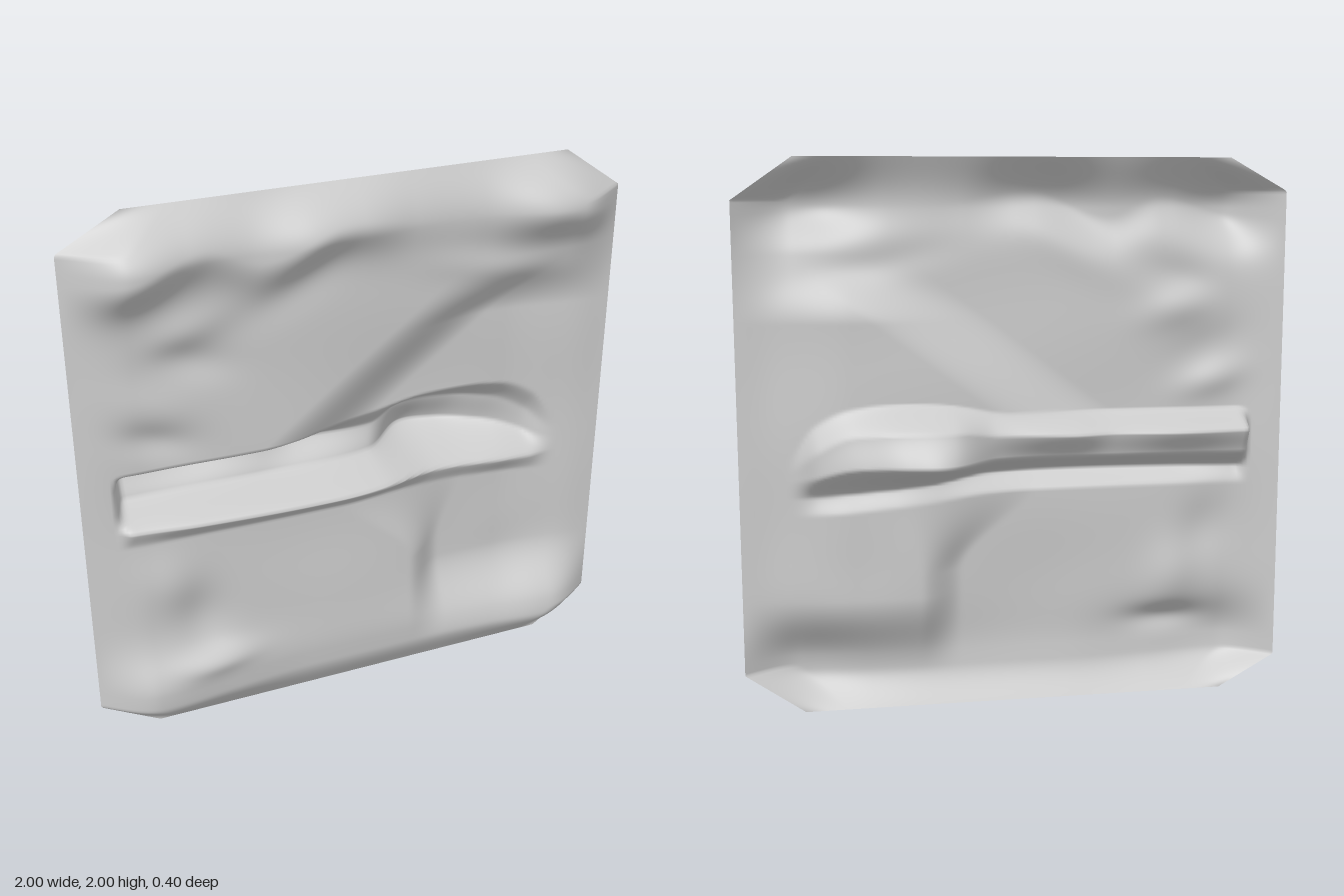
import * as THREE from 'three';

const EDGE_Z = 0.05;
const smooth = (a, b, t) => THREE.MathUtils.smoothstep(t, a, b);
const mix = THREE.MathUtils.lerp;

// Smooth curve through a short list of [position, value] pairs
function along(points, t) {
  const last = points.length - 1;
  if (t <= points[0][0]) return points[0][1];
  if (t >= points[last][0]) return points[last][1];
  const slope = i => (i === 0 || i === last) ? 0
    : (points[i + 1][1] - points[i - 1][1]) / (points[i + 1][0] - points[i - 1][0]);
  const i = points.findIndex(p => p[0] > t) - 1;
  const [a, va] = points[i], [b, vb] = points[i + 1];
  const w = b - a, s = (t - a) / w, r = 1 - s;
  return (1 + 2 * s) * r * r * va + s * r * r * w * slope(i)
    + s * s * (3 - 2 * s) * vb - s * s * r * w * slope(i + 1);
}

// Ridges across the top and bottom: height and centre line along x
const topHeight = [[-1, 0.06], [-0.78, 0.105], [-0.6, 0.07], [-0.4, 0.05], [-0.18, 0.09], [0, 0.07], [0.2, 0.025], [0.45, 0.03], [0.7, 0.1], [1, 0.05]];
const topLine = [[-1, 1.78], [-0.8, 1.8], [-0.55, 1.86], [-0.35, 1.79], [-0.08, 1.88], [0.3, 1.83], [0.7, 1.83], [1, 1.8]];
const bottomHeight = [[-1, 0.06], [-0.75, 0.075], [-0.5, 0.05], [-0.2, 0.02], [0.3, 0.02], [0.55, 0.035], [0.75, 0.06], [1, 0.05]];

// Soft dents and swellings: x, y, radius x, radius y, height, tilt
const bumps = [
  [-0.62, 1.57, 0.14, 0.07, 0.015, 0.3],
  [-0.6, 1.46, 0.14, 0.07, -0.02, -0.3],
  [-0.72, 1.31, 0.15, 0.08, 0.015, -0.4],
  [-0.74, 1.19, 0.13, 0.06, -0.02, -0.3],
  [0.5, 1.63, 0.25, 0.06, 0.012, -0.2],
  [-0.25, 1.66, 0.22, 0.08, -0.01, 0.5],
  [-0.1, 0.45, 0.32, 0.3, 0.02, 0],
  [-0.72, 0.62, 0.1, 0.13, 0.02, 0.5],
  [-0.6, 0.45, 0.1, 0.15, -0.025, 0.2],
  [-0.58, 0.27, 0.14, 0.05, 0.03, 0],
  [0.6, 0.5, 0.16, 0.16, 0.01, 0.4],
];

// Channel running across the middle, deeper toward its left end
const ceilingY = [[-0.87, 1.07], [0, 1.08], [0.3, 1.12], [0.6, 1.11], [0.73, 1.05], [0.84, 0.93]];
const upperY = [[-0.87, 1.02], [0.08, 1.02], [0.25, 1.045], [0.6, 1.03], [0.73, 0.97], [0.84, 0.89]];
const upperZ = [[-0.87, -0.06], [-0.6, -0.075], [-0.35, -0.045], [-0.2, -0.07], [0.1, -0.06], [0.25, -0.13], [0.45, -0.12], [0.6, -0.07], [0.74, -0.03], [0.84, 0.02]];
const lowerY = [[-0.87, 0.93], [0.1, 0.93], [0.3, 0.93], [0.6, 0.92], [0.84, 0.86]];
const lowerZ = [[-0.87, -0.02], [-0.35, -0.01], [0.08, -0.03], [0.26, -0.185], [0.4, -0.18], [0.55, -0.12], [0.7, -0.05], [0.84, 0.02]];
const lipY = [[-0.87, 0.86], [0.1, 0.855], [0.35, 0.83], [0.84, 0.8]];
const lipZ = [[-0.87, 0.11], [-0.6, 0.14], [-0.2, 0.16], [0.08, 0.14], [0.32, 0.05], [0.6, 0.045], [0.84, 0.04]];

// The sheet is stepped back on the left, with a slanted step above the channel
function recess(x, y) {
  const side = y > 1
    ? smooth(-0.13, 0.13, (x - 0.2) * 0.6 - (y - 1.34) * 0.8)
    : smooth(0.27 - 0.07 - 0.3 * smooth(0.5, 0.85, y), 0.36 + 0.1 * smooth(0.5, 0.85, y), x);
  return side * smooth(0.1, 0.42, y) * (1 - smooth(1.42, 1.66, y)) * (1 - 0.5 * smooth(0.6, 0.95, x));
}

function baseHeight(x, y) {
  let h = 0.04 - 0.086 * recess(x, y);
  h += 0.006 * Math.sin(5 * x + 3 * y) * Math.sin(7 * y - 2 * x);
  const dt = y - along(topLine, x);
  h += along(topHeight, x) * Math.exp(-((dt / (dt > 0 ? 0.25 : 0.11)) ** 2));
  const db = y - 0.19;
  h += along(bottomHeight, x) * Math.exp(-((db / (db < 0 ? 0.25 : 0.14)) ** 2));
  for (const [bx, by, rx, ry, height, tilt] of bumps) {
    const c = Math.cos(tilt), s = Math.sin(tilt);
    const u = ((x - bx) * c + (y - by) * s) / rx;
    const v = ((y - by) * c - (x - bx) * s) / ry;
    h += height * Math.exp(-u * u - v * v);
  }
  return h;
}

// Rises from 0 at the rim to 1 inside, rounded at the corners
function rimRise(x, y, u) {
  const rise = (d, width) => Math.sin(Math.min(1, d / width) * Math.PI / 2);
  return rise(1 - Math.abs(u), 0.2) * rise(y, 0.13) * rise(2 - y, 0.18);
}

function surfaceZ(x, y, u) {
  const base = EDGE_Z + baseHeight(x, y) * rimRise(x, y, u);
  const ends = smooth(-0.89, -0.84, x) * (1 - smooth(0.72, 0.84, x));
  if (ends === 0) return base;

  // Channel section from the lower lip up to the ceiling
  const lip = along(lipY, x);
  const section = [
    [lip - 0.065, base],
    [lip, along(lipZ, x)],
    [along(lowerY, x), along(lowerZ, x)],
    [along(upperY, x), along(upperZ, x)],
    [along(ceilingY, x) + 0.01, base],
  ];
  let z = base;
  for (let i = 1; i < section.length; i++) {
    const [a, za] = section[i - 1], [b, zb] = section[i];
    if (y > a && y <= b) {
      const t = (y - a) / (b - a);
      z = mix(za, zb, mix(t, smooth(0, 1, t), 0.4));
    }
  }
  return mix(base, z, ends);
}

// Outline with clipped corners
function halfWidth(y, cut) {
  const d = Math.min(y, 2 - y);
  return d < cut ? mix(0.785, 1, d / cut) : 1;
}

function createSheet() {
  const columns = 160, rows = 240;
  const geometry = new THREE.PlaneGeometry(2, 2, columns, rows);
  geometry.translate(0, 1, 0);
  const p = geometry.attributes.position;
  for (let i = 0; i < p.count; i++) {
    const u = p.getX(i), y = p.getY(i);
    const x = u * halfWidth(y, u < 0 ? 0.12 : 0.15);
    p.setXYZ(i, x, y, surfaceZ(x, y, u));
  }
  geometry.computeVertexNormals();
  return geometry;
}

export function createModel() {
  const group = new THREE.Group();
  group.name = 'reliefPanel';
  const material = new THREE.MeshStandardMaterial({ color: 0xcccccc, side: THREE.DoubleSide });
  const sheet = new THREE.Mesh(createSheet(), material);
  sheet.name = 'groovedSheet';
  group.add(sheet);
  return group;
}
